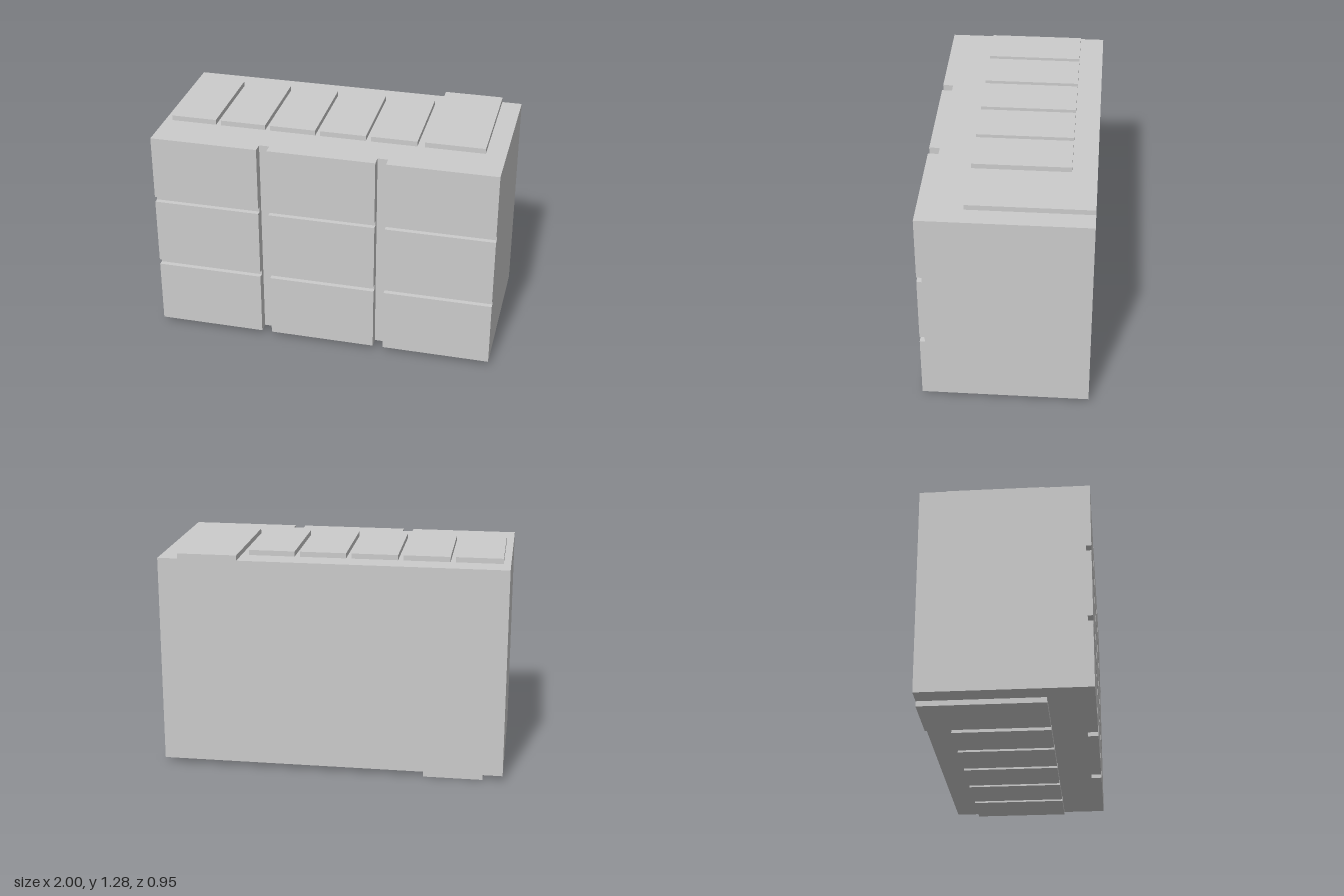
import * as THREE from 'three';

const material = new THREE.MeshStandardMaterial({ color: 0xcccccc, flatShading: true });
const BOTTOM = 0.03, TOP = 1.253, HEIGHT = 1.283;
const BACK = -0.477, FRONT = 0.477, RECESS = 0.417, NOTCH = 0.448;

// Box given by its minimum and maximum corners
function block(name, x0, x1, y0, y1, z0, z1) {
  const geometry = new THREE.BoxGeometry(x1 - x0, y1 - y0, z1 - z0);
  const mesh = new THREE.Mesh(geometry, material);
  mesh.position.set((x0 + x1) / 2, (y0 + y1) / 2, (z0 + z1) / 2);
  mesh.name = name;
  return mesh;
}

// Front column: a side profile with two horizontal grooves, extruded along x
function frontColumn(x0, x1) {
  const profile = new THREE.Shape();
  profile.moveTo(RECESS, BOTTOM);
  profile.lineTo(FRONT, BOTTOM);
  for (const [low, high] of [[0.413, 0.444], [0.84, 0.871]]) {
    profile.lineTo(FRONT, low);
    profile.lineTo(NOTCH, low);
    profile.lineTo(NOTCH, high);
    profile.lineTo(FRONT, high);
  }
  profile.lineTo(FRONT, TOP);
  profile.lineTo(RECESS, TOP);
  const geometry = new THREE.ExtrudeGeometry(profile, { depth: x1 - x0, bevelEnabled: false });
  geometry.rotateY(-Math.PI / 2).translate(x1, 0, 0);
  const mesh = new THREE.Mesh(geometry, material);
  mesh.name = 'frontColumn';
  return mesh;
}

// Row of six raised plates; the wide one runs to the back edge
function plateRow(name, side, y0, y1) {
  const row = new THREE.Group();
  row.name = name;
  const add = (label, a, b, z0) =>
    row.add(block(label, Math.min(a * side, b * side), Math.max(a * side, b * side), y0, y1, z0, 0.222));
  for (let i = 0; i < 5; i++) {
    const x = -0.958 + i * 0.297;
    add('plate', x, x + 0.267, -0.335);
  }
  add('widePlate', 0.54, 0.884, BACK);
  return row;
}

export function createModel() {
  const model = new THREE.Group();
  model.name = 'panelledBlock';

  // Main body, with its front set back to the floor of the vertical grooves
  model.add(block('body', -1, 1, BOTTOM, TOP, BACK, RECESS));

  // Three columns of front panels
  for (const [x0, x1] of [[-1, -0.373], [-0.313, 0.31], [0.37, 1]]) model.add(frontColumn(x0, x1));

  // Plates above, and the same row turned over below
  model.add(plateRow('topPlates', 1, TOP, HEIGHT));
  model.add(plateRow('bottomPlates', -1, 0, BOTTOM));
  return model;
}
